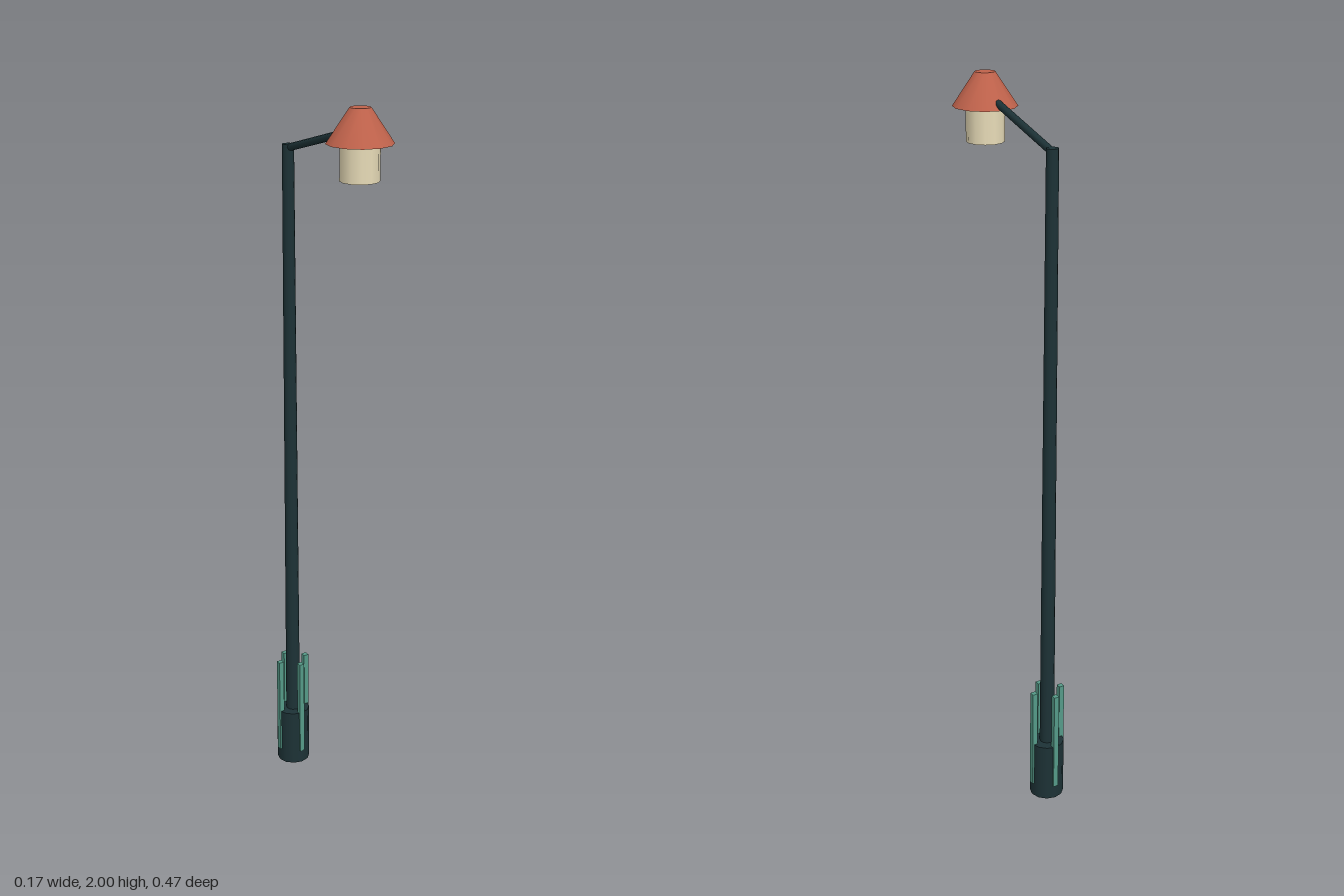
import * as THREE from 'three';

const POST_Z = -0.185, LAMP_Z = 0.148;
const iron = new THREE.MeshStandardMaterial({ color: 0x1d3236 });
const teal = new THREE.MeshStandardMaterial({ color: 0x559a88 });
const clay = new THREE.MeshStandardMaterial({ color: 0xbf624b });
const cream = new THREE.MeshStandardMaterial({ color: 0xe8dcb8 });

export function createModel() {
  const group = new THREE.Group();
  const add = (name, geometry, material, x, y, z) => {
    const mesh = new THREE.Mesh(geometry, material);
    mesh.name = name;
    mesh.position.set(x, y, z);
    group.add(mesh);
    return mesh;
  };

  // Footing and tapered post
  add('base', new THREE.CylinderGeometry(0.048, 0.048, 0.17, 12), iron, 0, 0.085, POST_Z);
  add('post', new THREE.CylinderGeometry(0.016, 0.021, 1.863, 12), iron, 0, 0.9315, POST_Z);

  // Four upright bars around the base
  for (let i = 0; i < 4; i++) {
    const a = i * Math.PI / 2;
    add('baseBar', new THREE.BoxGeometry(0.015, 0.295, 0.015), teal,
      Math.sin(a) * 0.0435, 0.1875, POST_Z + Math.cos(a) * 0.0435);
  }

  // Sloping arm from the post top into the shade
  const start = new THREE.Vector3(0, 1.853, POST_Z);
  const end = new THREE.Vector3(0, 1.942, 0.13);
  const dir = end.clone().sub(start);
  const arm = add('arm', new THREE.CylinderGeometry(0.01, 0.01, dir.length(), 8), iron, 0, 0, 0);
  arm.position.copy(start).add(end).multiplyScalar(0.5);
  arm.quaternion.setFromUnitVectors(new THREE.Vector3(0, 1, 0), dir.normalize());

  // Lantern body and roof-like shade
  add('lantern', new THREE.CylinderGeometry(0.051, 0.051, 0.1, 12), cream, 0, 1.87, LAMP_Z);
  add('shade', new THREE.CylinderGeometry(0.027, 0.086, 0.088, 12), clay, 0, 1.956, LAMP_Z);

  return group;
}
